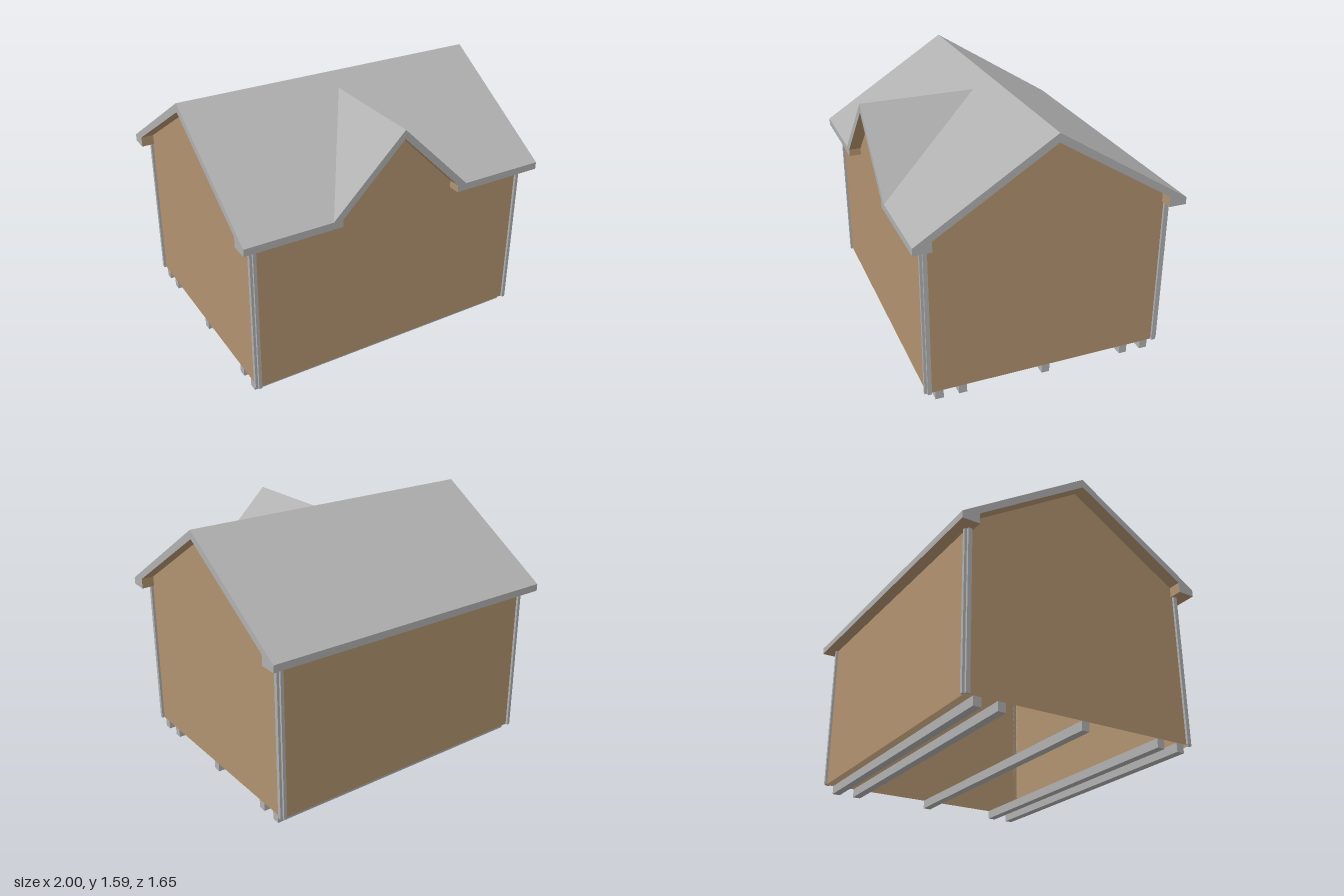
import * as THREE from 'three';

const grey = new THREE.MeshStandardMaterial({ color: 0xb0b0b0, side: THREE.DoubleSide });
grey.name = 'roof and trim grey';
const tan = new THREE.MeshStandardMaterial({ color: 0xb1926f, side: THREE.DoubleSide });
tan.name = 'wall tan';

// Overall levels and extents
const BASE = 0.055, EAVE = 1.025, EDGE = 1.07, RIDGE = 1.59, RIDGE_IN = 1.535;
const WX = 0.92, WZ = 0.75, RX = 1, RZ = 0.825, IZ = 0.715, IY = 1.09;
const DORMER = 1.52, DORMER_IN = 1.465, DX = 0.455, DXI = 0.395, VX = 0.375;
const VALLEY = 0.111;

function add(group, name, geometry, material) {
  const mesh = new THREE.Mesh(geometry, material);
  mesh.name = name;
  group.add(mesh);
  return mesh;
}

// Flat convex polygons, each fanned into triangles
function panels(polygons) {
  const pos = [];
  for (const p of polygons) {
    for (let i = 1; i < p.length - 1; i++) pos.push(...p[0], ...p[i], ...p[i + 1]);
  }
  const g = new THREE.BufferGeometry();
  g.setAttribute('position', new THREE.Float32BufferAttribute(pos, 3));
  g.computeVertexNormals();
  return g;
}

// Symmetric flat outline, given by its right half
function outline(half) {
  const mirrored = half.map(([x, y]) => [-x, y]).reverse();
  return new THREE.ShapeGeometry(
    new THREE.Shape([...half, ...mirrored].map(([x, y]) => new THREE.Vector2(x, y))));
}

export function createModel() {
  const model = new THREE.Group();
  model.name = 'gabledShed';

  // Walls, open underneath
  const frontWall = outline([[WX, BASE], [WX, EAVE], [DXI, EAVE], [DXI, EDGE], [0.001, DORMER_IN]]);
  add(model, 'frontWall', frontWall, tan).position.z = WZ;
  const backWall = outline([[WX, BASE], [WX, EAVE]]);
  add(model, 'backWall', backWall.rotateY(Math.PI), tan).position.z = -WZ;
  for (const s of [1, -1]) {
    const end = outline([[WZ, BASE], [WZ, EAVE], [IZ, EAVE], [IZ, IY], [0.001, RIDGE_IN]]);
    add(model, s > 0 ? 'leftGableWall' : 'rightGableWall', end.rotateY(s * Math.PI / 2), tan)
      .position.x = s * WX;
  }

  // Corner trim: two thin boards meeting at each corner
  const h = EAVE - BASE, midY = (EAVE + BASE) / 2;
  for (const sx of [1, -1]) for (const sz of [1, -1]) {
    const corner = new THREE.Group();
    corner.name = 'cornerTrim';
    add(corner, 'sideBoard', new THREE.BoxGeometry(0.015, h, 0.025), grey)
      .position.set(sx * (WX + 0.0075), midY, sz * (WZ - 0.0125));
    add(corner, 'faceBoard', new THREE.BoxGeometry(0.02, h, 0.015), grey)
      .position.set(sx * (WX - 0.01), midY, sz * (WZ + 0.0075));
    model.add(corner);
  }

  // Floor skids
  for (const z of [0.675, 0.53, 0, -0.53, -0.675]) {
    add(model, 'skid', new THREE.BoxGeometry(WX * 2, BASE, 0.05), grey)
      .position.set(0, BASE / 2, z);
  }

  // Roof covering, underside and soffits
  const top = [
    [[-RX, EDGE, -RZ], [-RX, RIDGE, 0], [RX, RIDGE, 0], [RX, EDGE, -RZ]],
  ];
  const under = [
    [[-RX, IY, -IZ], [RX, IY, -IZ], [RX, RIDGE_IN, 0], [-RX, RIDGE_IN, 0]],
    [[-RX, EAVE, -IZ], [RX, EAVE, -IZ], [RX, IY, -IZ], [-RX, IY, -IZ]],
    [[-RX, EAVE, -RZ], [RX, EAVE, -RZ], [RX, EAVE, -IZ], [-RX, EAVE, -IZ]],
  ];
  const both = (list, poly) => {
    list.push(poly);
    list.push(poly.map(([x, y, z]) => [-x, y, z]).reverse());
  };
  // Front slope, notched for the dormer, and the dormer slope
  both(top, [[RX, RIDGE, 0], [0, RIDGE, 0], [0, DORMER, VALLEY], [DX, EDGE, RZ], [RX, EDGE, RZ]]);
  both(top, [[0, DORMER, VALLEY], [0, DORMER, RZ], [DX, EDGE, RZ]]);
  // Front underside, dormer underside, riser, soffit and dormer cheek
  both(under, [[RX, RIDGE_IN, 0], [RX, IY, IZ], [VX, IY, IZ], [0, DORMER_IN, VALLEY], [0, RIDGE_IN, 0]]);
  both(under, [[0, DORMER_IN, RZ], [0, DORMER_IN, VALLEY], [VX, IY, IZ], [DXI, EDGE, IZ], [DXI, EDGE, RZ]]);
  both(under, [[VX, IY, IZ], [RX, IY, IZ], [RX, EAVE, IZ], [DXI, EAVE, IZ], [DXI, EDGE, IZ]]);
  both(under, [[DXI, EAVE, IZ], [RX, EAVE, IZ], [RX, EAVE, RZ], [DXI, EAVE, RZ]]);
  both(under, [[DXI, EAVE, RZ], [DXI, EDGE, RZ], [DXI, EDGE, IZ], [DXI, EAVE, IZ]]);
  add(model, 'roofCovering', panels(top), grey);
  add(model, 'roofUnderside', panels(under), tan);

  // Fascia and verge boards closing the roof edges
  const frontFascia = panels([]);
  const fascia = [[[-RX, EAVE, -RZ], [-RX, EDGE, -RZ], [RX, EDGE, -RZ], [RX, EAVE, -RZ]]];
  both(fascia, [[RX, EAVE, RZ], [RX, EDGE, RZ], [DXI, EDGE, RZ], [DXI, EAVE, RZ]]);
  both(fascia, [[DXI, EDGE, RZ], [DX, EDGE, RZ], [0, DORMER, RZ], [0, DORMER_IN, RZ]]);
  frontFascia.copy(panels(fascia));
  add(model, 'fascia', frontFascia, grey);
  const verge = [];
  both(verge, [[RX, EAVE, RZ], [RX, EAVE, IZ], [RX, IY, IZ], [RX, EDGE, RZ]]);
  both(verge, [[RX, EDGE, RZ], [RX, IY, IZ], [RX, RIDGE_IN, 0], [RX, RIDGE, 0]]);
  for (const poly of [...verge]) verge.push(poly.map(([x, y, z]) => [x, y, -z]).reverse());
  add(model, 'vergeBoards', panels(verge), grey);

  return model;
}
